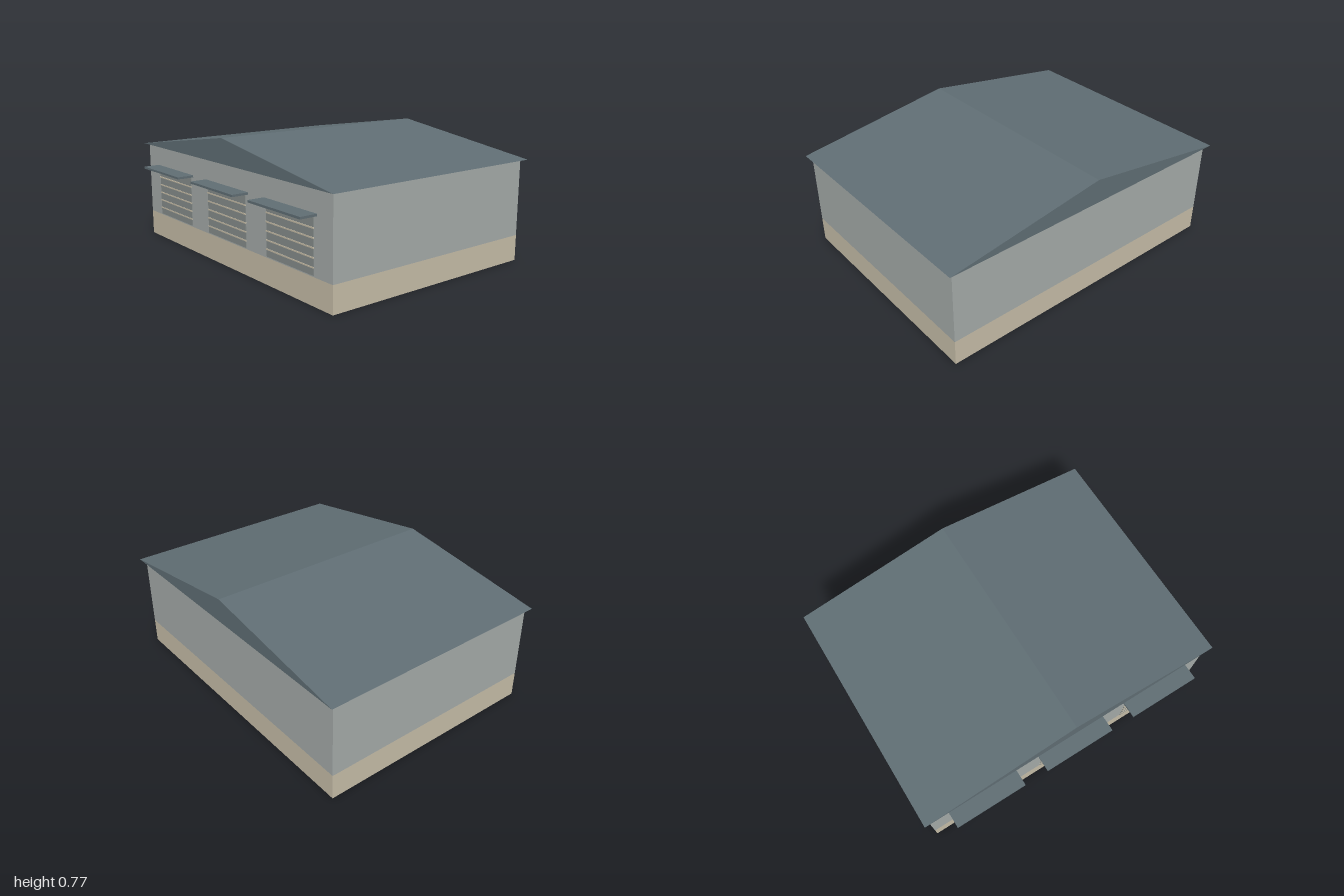
import * as THREE from 'three';

const mat = (color) => new THREE.MeshStandardMaterial({ color, flatShading: true });
const stone = mat(0xc4bba6);
const wall = mat(0xa3a9a7);
const slate = mat(0x5f6d73);
const shutter = mat(0x858c8a);

// Box given by its min and max corners
function box(name, material, [x0, y0, z0], [x1, y1, z1]) {
  const mesh = new THREE.Mesh(new THREE.BoxGeometry(x1 - x0, y1 - y0, z1 - z0), material);
  mesh.position.set((x0 + x1) / 2, (y0 + y1) / 2, (z0 + z1) / 2);
  mesh.name = name;
  return mesh;
}

// Roller door with seam strips and a flat canopy above
function createBay(x) {
  const bay = new THREE.Group();
  bay.name = 'doorBay';
  bay.position.x = x;
  bay.add(box('shutterDoor', shutter, [-0.205, 0.165, 0.67], [0.205, 0.48, 0.684]));
  for (let i = 0; i < 5; i++) {
    const y = 0.208 + i * 0.0515;
    bay.add(box('shutterSeam', stone, [-0.207, y - 0.004, 0.67], [0.207, y + 0.004, 0.687]));
  }
  bay.add(box('canopy', slate, [-0.23, 0.478, 0.67], [0.23, 0.491, 0.785]));
  return bay;
}

export function createModel() {
  const model = new THREE.Group();
  model.name = 'garage';

  // Plinth and walls
  model.add(box('plinth', stone, [-0.97, 0, -0.755], [0.97, 0.157, 0.68]));
  model.add(box('walls', wall, [-0.97, 0.157, -0.755], [0.97, 0.62, 0.68]));

  // Gabled roof, solid prism overhanging the walls
  const gable = new THREE.Shape([
    new THREE.Vector2(-1, 0.62),
    new THREE.Vector2(1, 0.62),
    new THREE.Vector2(0, 0.77),
  ]);
  const roof = new THREE.Mesh(
    new THREE.ExtrudeGeometry(gable, { depth: 1.49, bevelEnabled: false }), slate);
  roof.position.z = -0.785;
  roof.name = 'roof';
  model.add(roof);

  // Three door bays
  for (const x of [-0.615, 0, 0.615]) model.add(createBay(x));
  return model;
}
